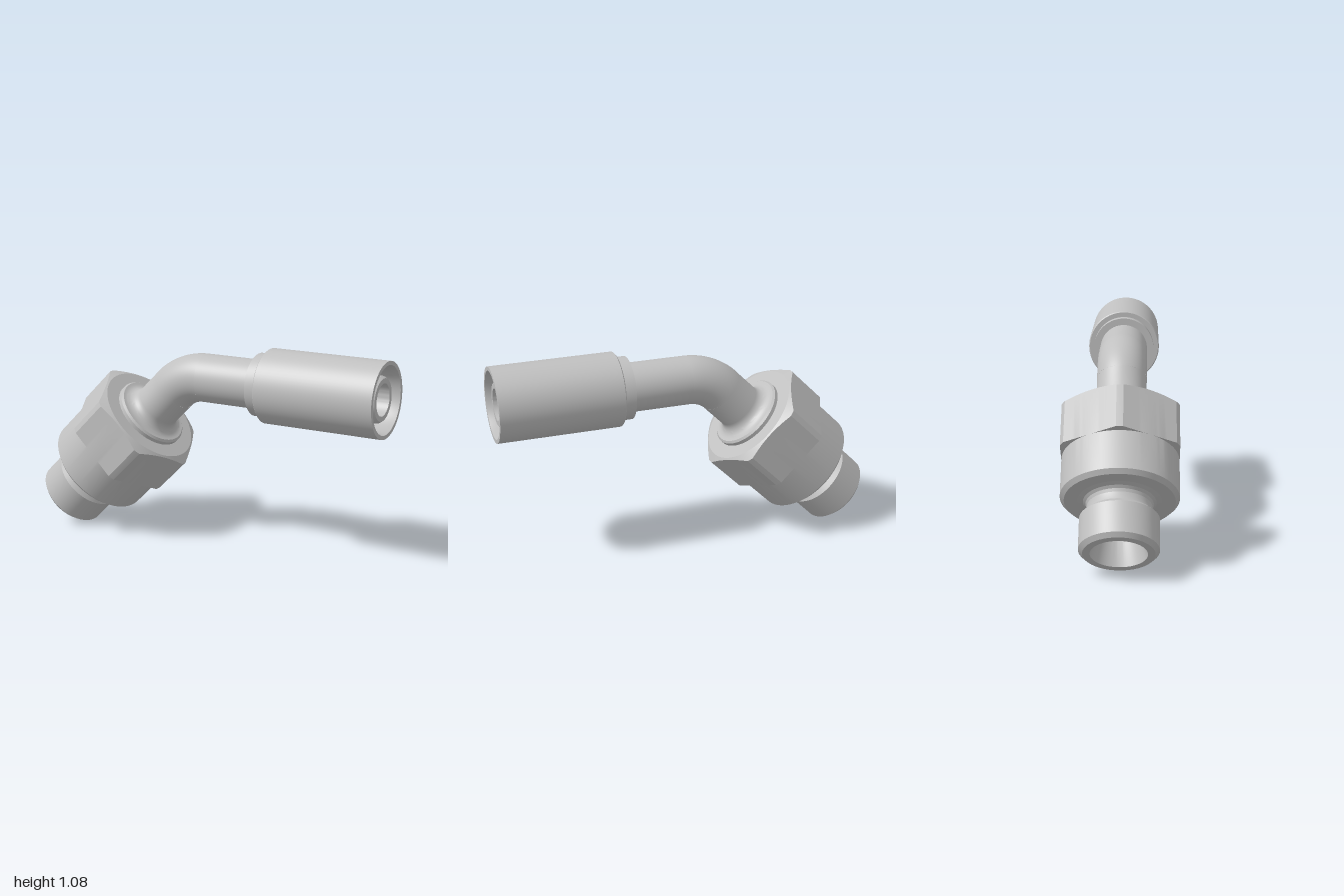
import * as THREE from 'three';
import { toCreasedNormals } from 'three/addons/utils/BufferGeometryUtils.js';

const BEND = 0.27, PIPE = 0.125, BORE = 0.08, FLAT = 0.285, CORNER = 0.32;

export function createModel() {
  const steel = new THREE.MeshStandardMaterial({ color: 0xc0c0c0, side: THREE.DoubleSide });
  steel.name = 'steel';
  const model = new THREE.Group();
  model.name = 'angledHoseFitting';

  const add = (parent, name, geometry) => {
    const mesh = new THREE.Mesh(geometry, steel);
    mesh.name = name;
    parent.add(mesh);
    return mesh;
  };
  const lathe = (points, segments = 72) =>
    new THREE.LatheGeometry(points.map(([r, y]) => new THREE.Vector2(r, y)), segments);
  const turned = (parent, name, points) =>
    add(parent, name, toCreasedNormals(lathe(points), 0.35));
  // Concave quarter fillet from (r + size, y) up to (r, y + size)
  const fillet = (r, y, size) => Array.from({ length: 9 }, (_, i) => {
    const a = (i / 8) * Math.PI / 2;
    return [r + size * (1 - Math.sin(a)), y + size * (1 - Math.cos(a))];
  });

  // Sloping half: local y runs along its axis from the open lower end
  const sloping = new THREE.Group();
  sloping.name = 'slopingEnd';
  sloping.position.set(-0.88, 0.12, 0);
  sloping.rotation.z = -Math.PI / 4;
  model.add(sloping);

  // Plug end with chamfers, neck and tapered mouth
  turned(sloping, 'plug', [
    [BORE, 0.3], [BORE, 0.2], [0.135, 0], [0.17, 0], [0.19, 0.02], [0.19, 0.18],
    [0.16, 0.207], [0.156, 0.225], [0.156, 0.245], [0.162, 0.26], [0.175, 0.27], [0.2, 0.275],
  ]);

  // Nut: round skirt below, hexagon above with chamfered corners
  const nut = lathe([
    [0.15, 0.275], [0.265, 0.275], [FLAT, 0.295], [FLAT, 0.498],
    [CORNER, 0.498], [CORNER, 0.73], [0.275, 0.752], [0.12, 0.752],
  ], 120);
  const p = nut.attributes.position;
  for (let i = 0; i < p.count; i++) {
    const x = p.getX(i), y = p.getY(i), z = p.getZ(i), r = Math.hypot(x, z);
    if (r < CORNER - 0.001) continue;
    const sixth = Math.PI / 3, a = Math.atan2(z, x) + 2 * Math.PI;
    const hex = Math.min(CORNER, FLAT / Math.cos((a % sixth) - sixth / 2));
    p.setXYZ(i, x * hex / r, y > 0.6 ? 0.752 - (hex - 0.275) * 0.49 : y, z * hex / r);
  }
  add(sloping, 'hexNut', toCreasedNormals(nut, 0.35));

  // Shouldered pipe rising out of the nut up to the bend
  const bendStart = 0.976;
  turned(sloping, 'pipeShoulder', [
    [0.2, 0.74], [0.2, 0.772], [0.19, 0.782], ...fillet(PIPE, 0.782, 0.055), [PIPE, bendStart],
  ]);
  turned(sloping, 'lowerBore', [[BORE, bendStart], [BORE, 0.3]]);

  // Bend, outside and inside
  for (const [name, radius] of [['bend', PIPE], ['bendBore', BORE]]) {
    const bend = add(model, name, new THREE.TorusGeometry(BEND, radius, 64, 24, Math.PI / 4));
    bend.position.set(0, 0.89 - BEND, 0);
    bend.rotation.z = Math.PI / 2;
  }

  // Level half: local y runs along +x
  const level = new THREE.Group();
  level.name = 'levelEnd';
  level.position.y = 0.89;
  level.rotation.z = -Math.PI / 2;
  model.add(level);

  turned(level, 'levelPipe', [[PIPE, 0], [PIPE, 0.32]]);
  turned(level, 'collar', [[0.12, 0.31], [0.16, 0.31], [0.16, 0.375]]);
  // Crimp sleeve, open towards the hose
  turned(level, 'sleeve', [
    [0.15, 0.37], [0.185, 0.37], [0.19, 0.375], [0.19, 1], [0.17, 1], [0.16, 0.96], [0.16, 0.45], [0.1, 0.45],
  ]);
  // Hose nipple inside the sleeve, with the bore running back to the bend
  turned(level, 'nipple', [
    [0.115, 0.45], [0.115, 0.965], [0.105, 0.98], [BORE, 0.98], [BORE, 0],
  ]);

  return model;
}
